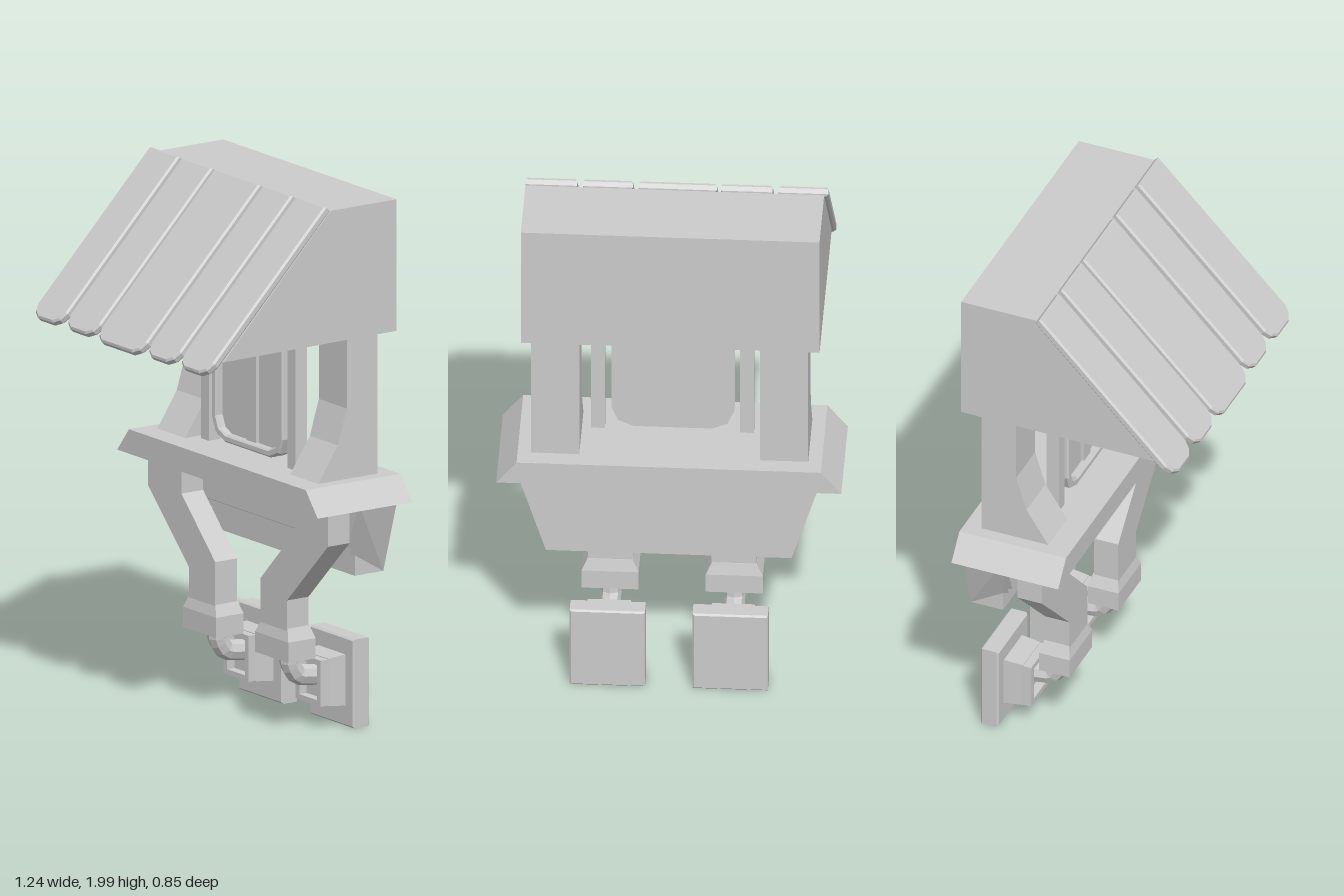
import * as THREE from 'three';

const material = new THREE.MeshStandardMaterial({ color: 0xcccccc, flatShading: true });

function add(parent, name, geometry) {
  const mesh = new THREE.Mesh(geometry, material);
  mesh.name = name;
  parent.add(mesh);
  return mesh;
}

// Box given by its limits on each axis
function box([x0, x1], [y0, y1], [z0, z1]) {
  return new THREE.BoxGeometry(x1 - x0, y1 - y0, z1 - z0)
    .translate((x0 + x1) / 2, (y0 + y1) / 2, (z0 + z1) / 2);
}

const shapeOf = (points) => new THREE.Shape(points.map(([x, y]) => new THREE.Vector2(x, y)));

// Front outline (x, y) extruded from z0 to z1, with an optional inset bevel
function slab(shape, z0, z1, bevel = 0) {
  return new THREE.ExtrudeGeometry(shape, {
    depth: z1 - z0 - 2 * bevel, bevelEnabled: bevel > 0, bevelSize: bevel,
    bevelThickness: bevel, bevelOffset: -bevel, bevelSegments: 1, curveSegments: 4,
  }).translate(0, 0, z0 + bevel);
}

// Side outline (z, y) extruded from x0 to x1
function sideSlab(points, x0, x1) {
  return slab(shapeOf(points), -x1, -x0).rotateY(-Math.PI / 2);
}

// Rectangle with cut corners
function cutRect(x0, x1, y0, y1, c) {
  const k = c * 0.3;
  return [
    [x0 + c, y0], [x1 - c, y0], [x1 - k, y0 + k], [x1, y0 + c],
    [x1, y1 - c], [x1 - k, y1 - k], [x1 - c, y1], [x0 + c, y1],
    [x0 + k, y1 - k], [x0, y1 - c], [x0, y0 + c], [x0 + k, y0 + k],
  ];
}

// Scale x (about cx) and z (about cz) by a rule of height
function taper(geometry, cx, cz, rule) {
  const p = geometry.attributes.position;
  for (let i = 0; i < p.count; i++) {
    const [sx, sz] = rule(p.getY(i));
    p.setX(i, cx + (p.getX(i) - cx) * sx);
    p.setZ(i, cz + (p.getZ(i) - cz) * sz);
  }
  geometry.computeVertexNormals();
  return geometry;
}

function makeRoof() {
  const roof = new THREE.Group();
  roof.name = 'roof';
  add(roof, 'roofBody', sideSlab([[-0.42, 1.495], [0.34, 1.49], [-0.13, 1.98], [-0.42, 1.98]], -0.54, 0.53));
  // Planks lying on the slope, lower corners cut
  const spans = [[-0.555, -0.375], [-0.355, -0.17], [-0.155, 0.125], [0.145, 0.325], [0.345, 0.53]];
  spans.forEach(([a, b], i) => {
    const low = i === 2 ? -0.765 : -0.757;
    const outline = [[a, 0], [a, low + 0.05], [a + 0.015, low + 0.018], [a + 0.045, low],
      [b - 0.045, low], [b - 0.015, low + 0.018], [b, low + 0.05], [b, 0]];
    const plank = add(roof, 'roofPlank', slab(shapeOf(outline), 0, 0.032, 0.007));
    plank.rotation.x = -0.77;
    plank.position.set(0, 1.977, -0.13);
  });
  return roof;
}

function makeWindow() {
  const win = new THREE.Group();
  win.name = 'window';
  add(win, 'windowBack', slab(shapeOf(cutRect(-0.222, 0.218, 0.987, 1.485, 0.08)), -0.2, -0.175));
  const frame = shapeOf(cutRect(-0.222, 0.218, 0.987, 1.485, 0.08));
  frame.holes.push(new THREE.Path(cutRect(-0.192, 0.188, 1.015, 1.457, 0.06)
    .map(([x, y]) => new THREE.Vector2(x, y))));
  add(win, 'windowFrame', slab(frame, -0.175, -0.14, 0.006));
  add(win, 'mullion', box([-0.03, 0.026], [1.01, 1.46], [-0.18, -0.16]));
  return win;
}

// Everything that stands in pairs, made for the +x side
function makeSide() {
  const side = new THREE.Group();

  // Post with a foot that flares forward
  add(side, 'post', sideSlab([[-0.36, 0.97], [-0.1, 0.97], [-0.185, 1.1],
    [-0.225, 1.23], [-0.225, 1.495], [-0.36, 1.495]], 0.324, 0.496));
  add(side, 'slat', box([0.242, 0.292], [0.97, 1.49], [-0.195, -0.145]));

  // Bent bracket under the ledge
  add(side, 'bracket', slab(shapeOf([[0.555, 0.87], [0.348, 0.87], [0.348, 0.76], [0.14, 0.55],
    [0.14, 0.38], [0.302, 0.38], [0.302, 0.5], [0.555, 0.75]]), -0.195, -0.1));
  add(side, 'bracketCollar', box([0.12, 0.325], [0.275, 0.35], [-0.21, -0.09]));
  add(side, 'bracketCollarTop', taper(box([0.12, 0.325], [0.35, 0.395], [-0.21, -0.09]), 0.222, -0.15,
    (y) => (y > 0.37 ? [0.79, 0.8] : [1, 1])));

  // Elbow pipe running back into the socket
  const path = new THREE.CurvePath();
  const bends = [[0.3, -0.165], [0.24, -0.17], [0.195, -0.2], [0.182, -0.3]]
    .map(([y, z]) => new THREE.Vector3(0.222, y, z));
  for (let i = 0; i < 3; i++) path.add(new THREE.LineCurve3(bends[i], bends[i + 1]));
  add(side, 'pipe', new THREE.TubeGeometry(path, 12, 0.038, 8));

  // Hollow socket on the wall plate
  const rim = shapeOf([[0.145, 0.085], [0.3, 0.085], [0.3, 0.255], [0.145, 0.255]]);
  rim.holes.push(new THREE.Path([[0.168, 0.105], [0.168, 0.235], [0.277, 0.235], [0.277, 0.105]]
    .map(([x, y]) => new THREE.Vector2(x, y))));
  add(side, 'socketRim', slab(rim, -0.3, -0.25));
  const base = new THREE.CylinderGeometry(Math.SQRT1_2, Math.SQRT1_2 * 1.08, 1, 4, 1)
    .rotateY(Math.PI / 4).rotateX(Math.PI / 2)
    .scale(0.155, 0.175, 0.075).translate(0.222, 0.17, -0.32);
  add(side, 'socketBase', base);
  add(side, 'wallPlate', slab(shapeOf([[0.085, 0], [0.355, 0], [0.355, 0.328], [0.085, 0.328]]), -0.425, -0.355, 0.006));
  return side;
}

// Copy of a geometry reflected in x with its winding put right
function mirrorX(geometry) {
  const g = (geometry.index ? geometry.toNonIndexed() : geometry.clone()).scale(-1, 1, 1);
  for (const attribute of Object.values(g.attributes)) {
    const n = attribute.itemSize;
    const a = attribute.array;
    for (let i = 0; i < attribute.count; i += 3) {
      for (let k = 0; k < n; k++) {
        const p = (i + 1) * n + k;
        [a[p], a[p + n]] = [a[p + n], a[p]];
      }
    }
  }
  g.computeVertexNormals();
  return g;
}

export function createModel() {
  const model = new THREE.Group();
  model.name = 'roofedWallStand';
  model.add(makeRoof(), makeWindow());

  // Ledge with sloping ends
  add(model, 'ledge', slab(shapeOf([[-0.618, 0.88], [0.618, 0.88], [0.545, 0.97], [-0.545, 0.97]]), -0.425, -0.01));

  // Stepped block under the ledge, narrowing downwards
  const block = sideSlab([[-0.425, 0.59], [-0.3, 0.59], [-0.3, 0.665], [-0.275, 0.675],
    [-0.275, 0.7], [-0.255, 0.71], [-0.255, 0.88], [-0.425, 0.88]], -0.53, 0.53);
  add(model, 'underBlock', taper(block, 0, 0, (y) => [0.83 + 0.17 * Math.max(0, (y - 0.66) / 0.22), 1]));

  // Left side and its reflection
  const left = makeSide();
  left.name = 'leftSide';
  const right = new THREE.Group();
  right.name = 'rightSide';
  left.children.forEach((part) => add(right, part.name, mirrorX(part.geometry)));
  model.add(left, right);
  return model;
}
